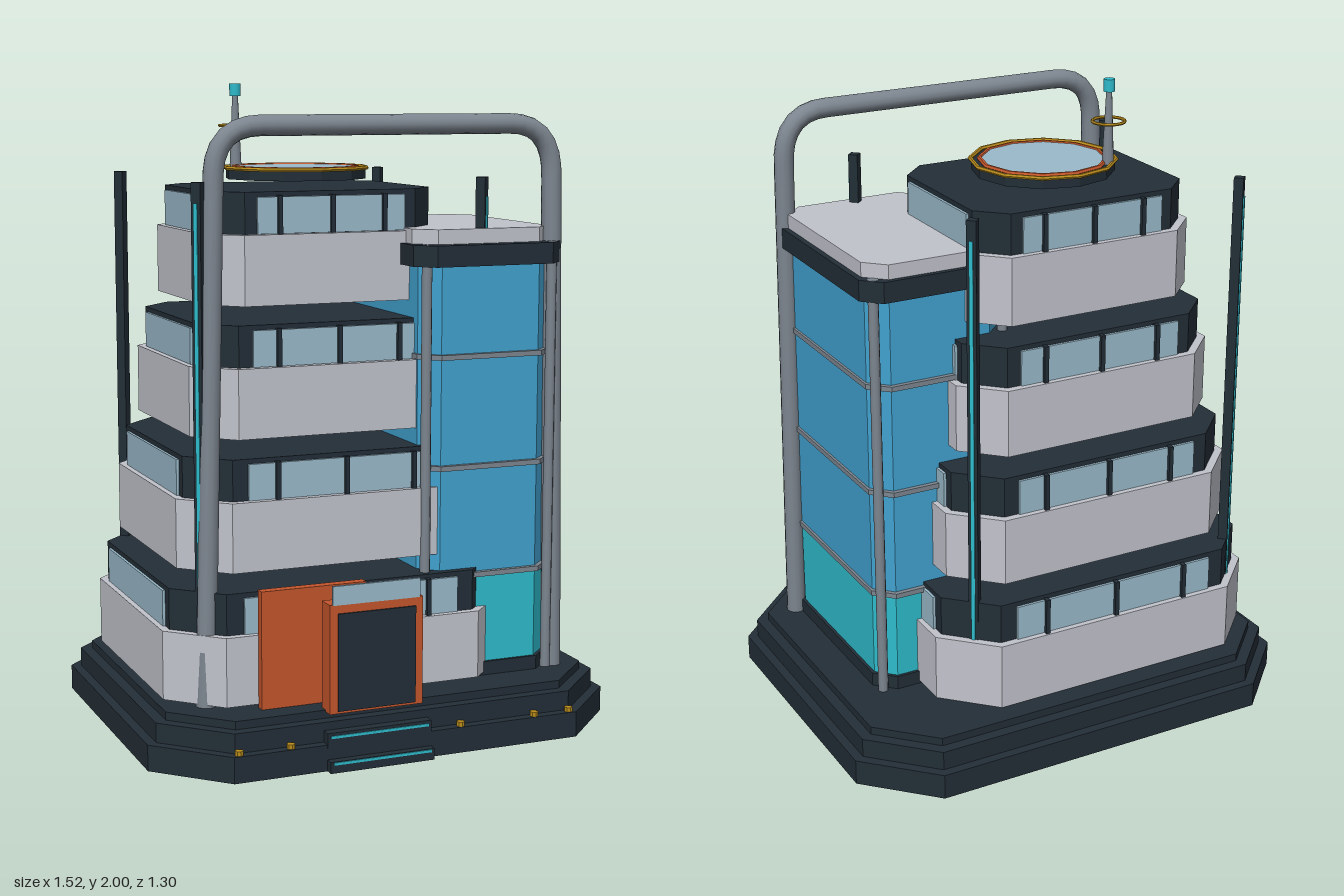
import * as THREE from 'three';

const mat = (name, color) => {
  const m = new THREE.MeshStandardMaterial({ color });
  m.name = name;
  return m;
};

export function createModel() {
  const M = {
    dark: mat('dark slate', 0x232e37),
    light: mat('pale concrete', 0xc2c4cd),
    window: mat('window glass', 0x9abaca),
    blue: mat('blue glass', 0x42a2d0),
    cyan: mat('cyan glow', 0x2fbccd),
    orange: mat('orange panel', 0xc4562c),
    gold: mat('gold trim', 0xb98c1c),
    steel: mat('grey steel', 0x7d8690),
  };
  const model = new THREE.Group();
  model.name = 'officeBuilding';

  const add = (name, geo, m, x = 0, y = 0, z = 0, parent = model) => {
    const mesh = new THREE.Mesh(geo, m);
    mesh.name = name;
    mesh.position.set(x, y, z);
    parent.add(mesh);
    return mesh;
  };
  // Box given by its extents
  const box = (name, m, x0, x1, y0, y1, z0, z1, parent = model) =>
    add(name, new THREE.BoxGeometry(x1 - x0, y1 - y0, z1 - z0), m,
      (x0 + x1) / 2, (y0 + y1) / 2, (z0 + z1) / 2, parent);
  const flat = (geo) => {
    const g = geo.toNonIndexed();
    g.computeVertexNormals();
    return g;
  };
  // Rectangle with cut corners, half sizes a and b, corner cut c
  const octPoints = (a, b, c) => [
    [a, -b + c], [a, b - c], [a - c, b], [-a + c, b],
    [-a, b - c], [-a, -b + c], [-a + c, -b], [a - c, -b],
  ].map(([x, y]) => new THREE.Vector2(x, y));
  // Upright prism on that outline; wall > 0 makes it a hollow ring
  const oct = (a, b, c, h, wall = 0) => {
    const shape = new THREE.Shape(octPoints(a, b, c));
    if (wall) {
      shape.holes.push(new THREE.Path(octPoints(a - wall, b - wall, c - wall * 0.586).reverse()));
    }
    return new THREE.ExtrudeGeometry(shape, { depth: h, bevelEnabled: false }).rotateX(-Math.PI / 2);
  };

  // Stepped base
  [[0, 0.08, 0], [0.08, 0.06, 0.03], [0.14, 0.025, 0.065]].forEach(([y, h, inset]) =>
    add('baseTier', oct(0.76 - inset, 0.637 - inset, 0.2 - inset * 0.586, h), M.dark, 0, y, -0.018));
  // Entrance steps with glowing edges
  box('lowerStep', M.dark, -0.27, 0.065, 0, 0.035, 0.58, 0.645);
  box('lowerStepLight', M.cyan, -0.26, 0.055, 0.025, 0.033, 0.643, 0.648);
  box('upperStep', M.dark, -0.27, 0.065, 0.07, 0.115, 0.56, 0.62);
  box('upperStepLight', M.cyan, -0.26, 0.055, 0.098, 0.106, 0.618, 0.623);
  for (const x of [-0.54, -0.38, -0.015, 0.17, 0.42, 0.54]) {
    add('baseLamp', flat(new THREE.CylinderGeometry(0.013, 0.013, 0.014, 8)), M.gold, x, 0.087, 0.604);
  }

  // Four stepped floors
  const cx = -0.1125, cz = -0.04;
  for (let i = 0; i < 4; i++) {
    const floor = new THREE.Group();
    floor.name = 'floor' + (i + 1);
    floor.position.set(cx, 0.175 + 0.39 * i, cz);
    model.add(floor);
    const a = 0.5625 - 0.059 * i, b = 0.495 - 0.0565 * i, c = 0.15 - 0.017 * i;
    add('parapet', oct(a, b, c, 0.212, 0.026), M.light, 0, 0, 0, floor);
    const ba = a - 0.025, bb = b - 0.025;
    add('floorBody', oct(ba, bb, c - 0.015, 0.335), M.dark, 0, 0.003, 0, floor);
    for (const s of [-1, 1]) {
      const wx = a * 0.62, wz = b * 0.6;
      add('longWindow', new THREE.BoxGeometry(2 * wx, 0.11, 0.009), M.window, 0, 0.268, s * (bb + 0.004), floor);
      add('sideWindow', new THREE.BoxGeometry(0.009, 0.11, 2 * wz), M.window, s * (ba + 0.004), 0.268, 0, floor);
      for (const t of [-0.44, 0, 0.44]) {
        add('mullion', new THREE.BoxGeometry(0.014, 0.118, 0.022), M.dark, t * a, 0.268, s * (bb + 0.009), floor);
      }
    }
  }

  // Corner fins with glowing strips
  for (const sx of [-1, 1]) for (const sz of [-1, 1]) {
    const fin = new THREE.Group();
    fin.name = 'cornerFin';
    fin.position.set(cx + sx * 0.455, 0, cz + sz * 0.4);
    fin.rotation.y = Math.atan2(sx, sz);
    model.add(fin);
    box('finPost', M.dark, -0.015, 0.015, 0.165, 1.72, -0.015, 0.015, fin);
    box('finLight', M.cyan, -0.006, 0.006, 0.2, 1.66, 0.014, 0.019, fin);
  }

  // Glass tower
  const tx = 0.355, tz = 0.075;
  const tower = new THREE.Group();
  tower.name = 'glassTower';
  tower.position.set(tx, 0, tz);
  model.add(tower);
  add('towerPlinth', oct(0.23, 0.34, 0.06, 0.045), M.dark, 0, 0.163, 0, tower);
  add('lobbyGlass', oct(0.22, 0.33, 0.055, 0.29), M.cyan, 0, 0.2, 0, tower);
  add('towerGlass', oct(0.22, 0.33, 0.055, 0.97), M.blue, 0, 0.49, 0, tower);
  for (const y of [0.485, 0.827, 1.17]) {
    add('towerBand', oct(0.228, 0.345, 0.058, 0.016), M.steel, 0, y, 0, tower);
  }
  add('towerCornice', oct(0.25, 0.362, 0.055, 0.065), M.dark, 0, 1.455, 0, tower);
  add('towerRoof', oct(0.232, 0.33, 0.06, 0.045), M.light, 0, 1.52, -0.015, tower);
  for (const sx of [-1, 1]) for (const sz of [-1, 1]) {
    add('towerColumn', new THREE.CylinderGeometry(0.016, 0.016, 1.355, 10), M.steel,
      sx * 0.212, 0.843, sz * 0.322, tower);
  }

  // Bent pipe arch over the front
  const P = (x, y, z) => new THREE.Vector3(x, y, z);
  const path = new THREE.CurvePath();
  const leftTop = P(-0.52, 1.73, 0.357), rightTop = P(0.582, 1.73, 0.357);
  path.add(new THREE.LineCurve3(P(-0.565, 0.165, 0.38), leftTop));
  path.add(new THREE.CubicBezierCurve3(leftTop, P(-0.518, 1.83, 0.355), P(-0.47, 1.88, 0.355), P(-0.37, 1.88, 0.355)));
  path.add(new THREE.LineCurve3(P(-0.37, 1.88, 0.355), P(0.44, 1.88, 0.355)));
  path.add(new THREE.CubicBezierCurve3(P(0.44, 1.88, 0.355), P(0.53, 1.88, 0.355), P(0.58, 1.83, 0.355), rightTop));
  path.add(new THREE.LineCurve3(rightTop, P(0.597, 0.165, 0.38)));
  add('pipeArch', new THREE.TubeGeometry(path, 120, 0.031, 12), M.steel);

  // Entrance
  box('entranceWall', M.orange, -0.425, -0.09, 0.16, 0.525, 0.452, 0.483);
  box('entrancePortal', M.orange, -0.25, 0.05, 0.16, 0.492, 0.525, 0.587);
  box('door', M.dark, -0.225, 0.025, 0.168, 0.465, 0.584, 0.593);
  box('canopyGlass', M.window, -0.24, 0.04, 0.49, 0.548, 0.578, 0.588);

  // Roof skylight
  const ring = (name, m, r, t, x, y, z, sides = 12) =>
    add(name, flat(new THREE.TorusGeometry(r, t, 6, sides).rotateX(Math.PI / 2)), m, x, y, z);
  add('skylightDisc', flat(new THREE.CylinderGeometry(0.222, 0.222, 0.03, 12)), M.dark, cx, 1.722, cz);
  add('skylightGlass', flat(new THREE.CylinderGeometry(0.195, 0.195, 0.008, 12)), M.window, cx, 1.74, cz);
  ring('skylightRim', M.orange, 0.196, 0.008, cx, 1.741, cz);
  ring('skylightTrim', M.gold, 0.225, 0.007, cx, 1.741, cz);

  // Antenna
  add('antennaMast', new THREE.CylinderGeometry(0.009, 0.019, 0.23, 10), M.steel, -0.265, 1.85, -0.172);
  add('antennaLight', new THREE.CylinderGeometry(0.018, 0.018, 0.038, 10), M.cyan, -0.265, 1.981, -0.172);
  ring('antennaRing', M.gold, 0.05, 0.005, -0.265, 1.87, -0.172, 16);

  return model;
}
